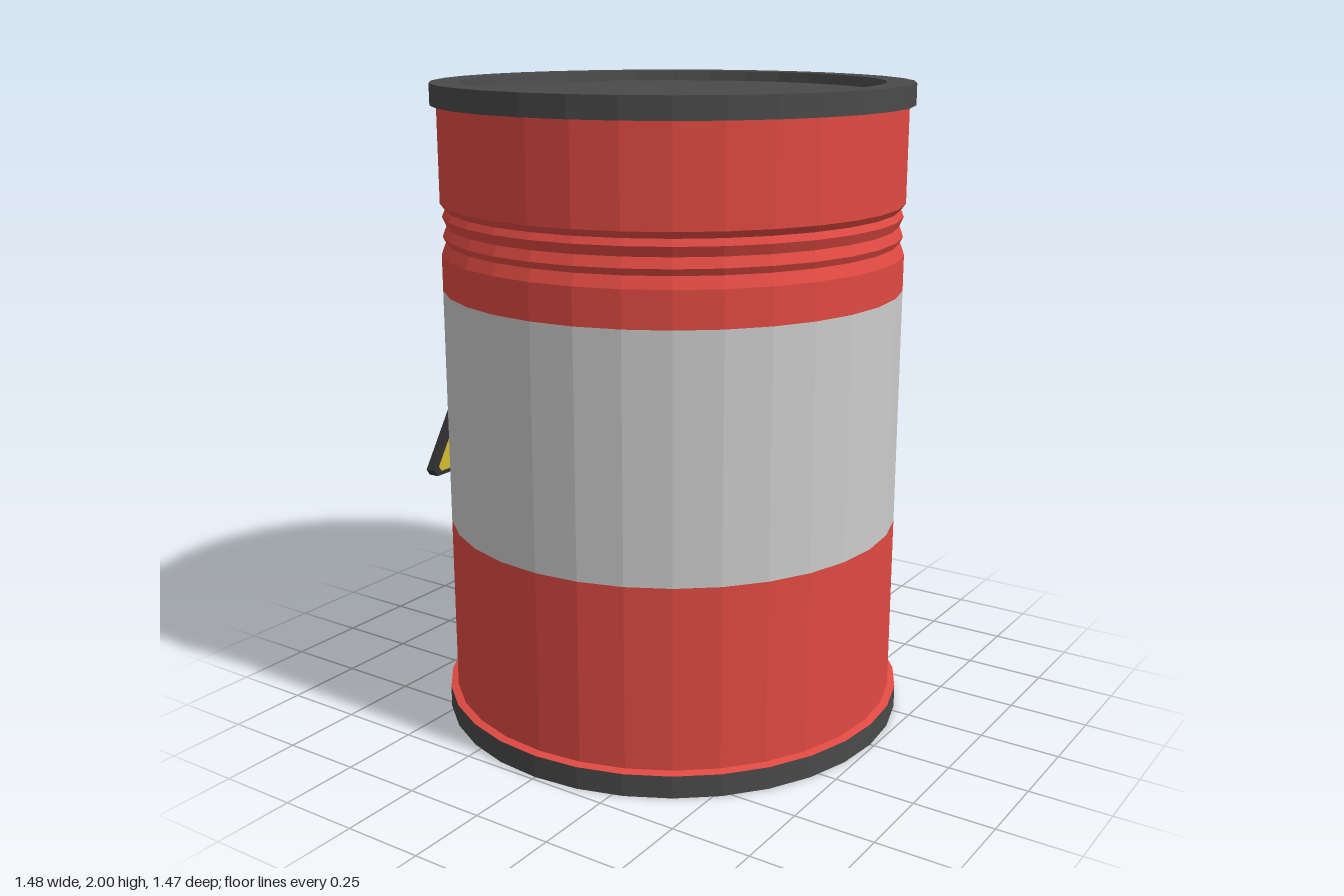
import * as THREE from 'three';

const SIDES = 32;
const paint = (color) => new THREE.MeshStandardMaterial({ color, flatShading: true });
const red = paint(0xe04a42);
const grey = paint(0xcccccc);
const dark = paint(0x4a4a4a);
const black = paint(0x333333);
const yellow = paint(0xd2ba30);

function addMesh(group, name, geometry, material) {
  const mesh = new THREE.Mesh(geometry, material);
  mesh.name = name;
  group.add(mesh);
  return mesh;
}

// Profile of [radius, y] pairs, running upwards on the outside
function lathe(profile) {
  return new THREE.LatheGeometry(profile.map(([r, y]) => new THREE.Vector2(r, y)), SIDES);
}

// Triangle with clipped corners, in (z, y), inset from the sign's outline
function triangle(PathType, inset) {
  const half = 0.375 - inset * 1.85;
  const bottom = 0.71 + inset;
  const top = 1.3 - inset * 1.9;
  const corners = [[-half, bottom], [half, bottom], [0, top]].map((c) => new THREE.Vector2(...c));
  const points = [];
  corners.forEach((corner, i) => {
    const before = corners[(i + 2) % 3];
    const after = corners[(i + 1) % 3];
    points.push(corner.clone().lerp(before, 0.035), corner.clone().lerp(after, 0.035));
  });
  return new PathType(points);
}

// Extrudes a (z, y) shape as a plate centred on the sign plane
function plate(shape, depth) {
  const geometry = new THREE.ExtrudeGeometry(shape, { depth, bevelEnabled: false });
  geometry.translate(0, 0, -depth / 2);
  geometry.rotateY(-Math.PI / 2);
  geometry.translate(-0.722, 0, 0);
  return geometry;
}

export function createModel() {
  const barrel = new THREE.Group();
  barrel.name = 'barrel';

  // Painted body: lower red, pale band, upper red with pressed ribs
  addMesh(barrel, 'lowerBody', lathe([[0.737, 0.07], [0.713, 0.076], [0.713, 0.64]]), red);
  addMesh(barrel, 'middleBand', lathe([[0.713, 0.64], [0.713, 1.38]]), grey);
  addMesh(barrel, 'upperBody', lathe([
    [0.713, 1.38], [0.713, 1.49],
    [0.698, 1.525], [0.708, 1.545],
    [0.695, 1.575], [0.708, 1.605],
    [0.698, 1.625], [0.713, 1.645],
    [0.713, 1.94],
  ]), red);

  // Bottom rim with closed underside
  addMesh(barrel, 'bottomRim', lathe([[0, 0], [0.737, 0], [0.737, 0.07], [0.71, 0.07]]), dark);

  // Top rim with recessed lid
  addMesh(barrel, 'topLid', lathe([
    [0.71, 1.935], [0.732, 1.935], [0.732, 2],
    [0.645, 2], [0.639, 1.968], [0, 1.968],
  ]), dark);

  // Triangular warning sign on the right side
  const sign = new THREE.Group();
  sign.name = 'warningSign';
  const outline = triangle(THREE.Shape, 0);
  outline.holes.push(triangle(THREE.Path, 0.012));
  addMesh(sign, 'signFrame', plate(outline, 0.036), black);
  addMesh(sign, 'signPanel', plate(triangle(THREE.Shape, 0.011), 0.028), yellow);
  barrel.add(sign);

  return barrel;
}
